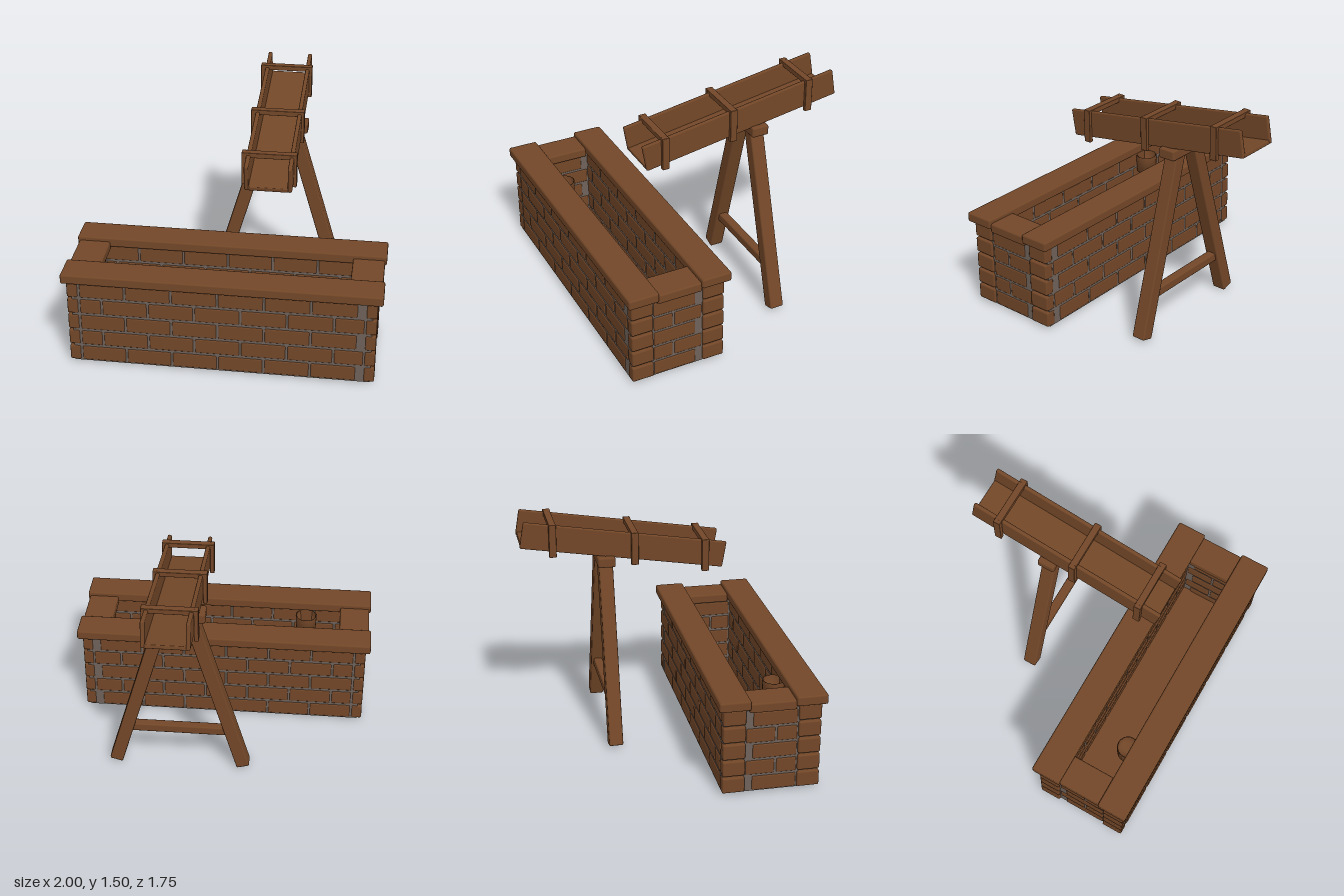
import * as THREE from 'three';
import { RoundedBoxGeometry } from 'three/addons/geometries/RoundedBoxGeometry.js';

const brown = new THREE.MeshStandardMaterial({ color: 0x734728 });
brown.name = 'brown wood and brick';
const grey = new THREE.MeshStandardMaterial({ color: 0x6e625a });
grey.name = 'grey mortar';

// Box given by its low and high limits on each axis, with softly bevelled edges
function block(parent, name, [x0, x1], [y0, y1], [z0, z1], bevel = 0.01, material = brown) {
  const w = x1 - x0, h = y1 - y0, d = z1 - z0;
  const geometry = bevel ? new RoundedBoxGeometry(w, h, d, 1, bevel) : new THREE.BoxGeometry(w, h, d);
  const mesh = new THREE.Mesh(geometry, material);
  mesh.name = name;
  mesh.position.set((x0 + x1) / 2, (y0 + y1) / 2, (z0 + z1) / 2);
  parent.add(mesh);
  return mesh;
}

function group(parent, name) {
  const g = new THREE.Group();
  g.name = name;
  parent.add(g);
  return g;
}

const ROWS = 5, BRICK = 0.28, GAP = 0.011;

// Long wall in running bond, with a narrow brick closing each end
function longWall(parent, name, zMid) {
  const wall = group(parent, name);
  const z = [zMid - 0.072, zMid + 0.072];
  block(wall, 'mortar', [-0.94, 0.94], [0.012, 0.595], [zMid - 0.066, zMid + 0.066], 0, grey);
  for (let row = 0; row < ROWS; row++) {
    const y = [0.018 + row * 0.1165, 0.121 + row * 0.1165];
    const odd = row % 2 === 1;
    block(wall, 'endBrick', [-0.97, -0.9], y, z);
    block(wall, 'endBrick', [0.9, 0.967], y, z);
    let x = -0.888;
    if (odd) {
      block(wall, 'halfBrick', [x, x + 0.133], y, z);
      x += 0.133 + GAP;
    }
    for (let i = 0; i < (odd ? 5 : 6); i++, x += BRICK + GAP) {
      block(wall, 'brick', [x, x + BRICK], y, z);
    }
    if (odd) block(wall, 'cutBrick', [x, 0.891], y, z);
  }
}

// Short wall fitted between the long walls
function endWall(parent, name, xMid) {
  const wall = group(parent, name);
  const x = [xMid - 0.072, xMid + 0.072];
  block(wall, 'mortar', [xMid - 0.066, xMid + 0.066], [0.012, 0.57], [0.36, 0.71], 0, grey);
  for (let row = 0; row < ROWS; row++) {
    const y = [0.016 + row * 0.111, 0.115 + row * 0.111];
    if (row % 2 === 0) {
      block(wall, 'brick', x, y, [0.412, 0.695]);
    } else {
      block(wall, 'halfBrick', x, y, [0.566, 0.695]);
      block(wall, 'cutBrick', x, y, [0.37, 0.555]);
    }
  }
}

function buildBasin(model) {
  const basin = group(model, 'brickBasin');
  longWall(basin, 'frontWall', 0.773);
  longWall(basin, 'backWall', 0.293);
  endWall(basin, 'leftWall', 0.885);
  endWall(basin, 'rightWall', -0.885);
  block(basin, 'basinFloor', [-0.83, 0.83], [0.03, 0.06], [0.35, 0.72], 0);

  // Plank rim, the end planks a little lower
  block(basin, 'frontRimPlank', [-1, 1], [0.593, 0.658], [0.673, 0.873], 0.012);
  block(basin, 'backRimPlank', [-1, 1], [0.593, 0.658], [0.188, 0.388], 0.012);
  for (const s of [-1, 1]) {
    const xs = [s * 0.785, s * 0.988].sort((a, b) => a - b);
    block(basin, 'endRimPlank', xs, [0.568, 0.633], [0.38, 0.68], 0.012);
  }

  // Small open bucket by the front wall
  const bucket = new THREE.Mesh(new THREE.LatheGeometry([
    [0, 0.45], [0.068, 0.45], [0.074, 0.57], [0.066, 0.57], [0.062, 0.46], [0, 0.46],
  ].map(([r, y]) => new THREE.Vector2(r, y)), 20), brown);
  bucket.name = 'bucket';
  bucket.position.set(-0.55, 0, 0.65);
  basin.add(bucket);
}

function buildStand(model) {
  const stand = group(model, 'stand');
  stand.position.set(0.242, 0, -0.317);
  const tilt = Math.atan(0.29);
  for (const s of [-1, 1]) {
    const leg = block(stand, 'leg', [-0.044, 0.044], [0, 1.235], [-0.047, 0.047], 0.01);
    leg.position.set(s * 0.256, 0.604, 0);
    leg.rotation.z = s * tilt;
  }
  block(stand, 'crossbar', [-0.33, 0.33], [0.26, 0.32], [-0.03, 0.03]);
  block(stand, 'topBlock', [-0.182, 0.182], [1.173, 1.242], [-0.058, 0.058], 0.012);
}

function buildChute(model) {
  const chute = group(model, 'chute');
  // Sloping open channel, lower over the basin
  const channel = group(chute, 'channel');
  channel.position.set(0.245, 1.309, -0.193);
  channel.rotation.x = Math.atan(0.165);
  block(channel, 'channelFloor', [-0.13, 0.13], [-0.091, -0.064], [-0.672, 0.674], 0.006);
  for (const s of [-1, 1]) {
    const xs = [s * 0.122, s * 0.149].sort((a, b) => a - b);
    block(channel, 'channelSide', xs, [-0.09, 0.087], [-0.677, 0.677], 0.01);
  }

  // Upright frames gripping the channel
  for (const [z, y] of [[0.34, 1.102], [-0.13, 1.179], [-0.665, 1.267]]) {
    const frame = group(chute, 'bracingFrame');
    frame.position.set(0.24, y, z);
    const depth = [-0.024, 0.024];
    for (const s of [-1, 1]) {
      const xs = [s * 0.145, s * 0.173].sort((a, b) => a - b);
      block(frame, 'framePost', xs, [0, 0.22], depth, 0.004);
    }
    block(frame, 'frameBar', [-0.172, 0.172], [0.185, 0.219], [-0.023, 0.023], 0.004);
  }
}

export function createModel() {
  const model = new THREE.Group();
  model.name = 'waterTroughWithChute';
  buildBasin(model);
  buildStand(model);
  buildChute(model);
  return model;
}
